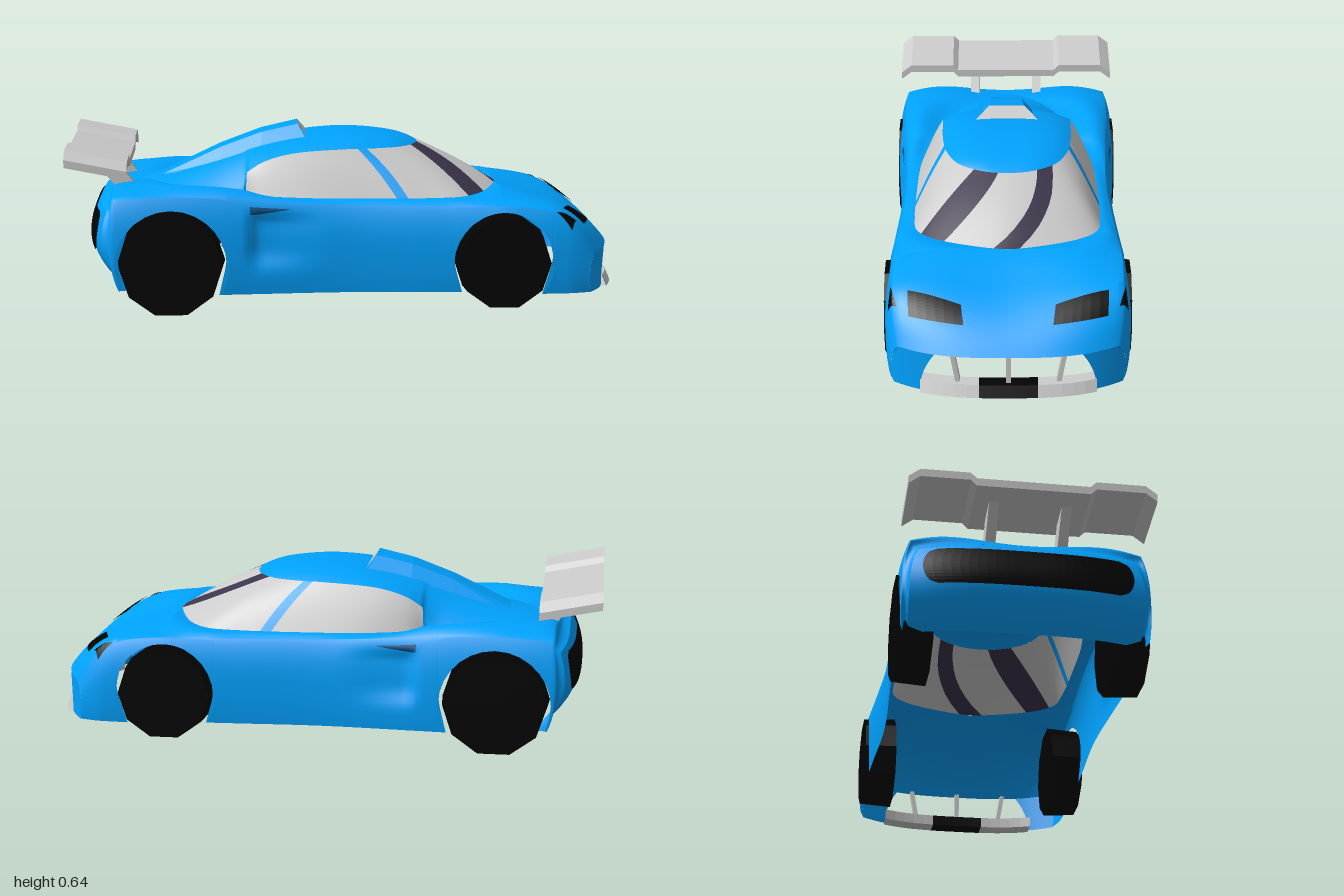
import * as THREE from 'three';

const paint = (color, flatShading = false) =>
  new THREE.MeshStandardMaterial({ color, flatShading, side: THREE.DoubleSide });
const BLUE = paint(0x00a2ff), BLUE_FLAT = paint(0x00a2ff, true), GREY = paint(0xcccccc), GREY_FLAT = paint(0xcccccc, true);
const BLACK = paint(0x030303, true), STRIPE = paint(0x3d354b), SHADE = paint(0x0a4f86);

const { lerp, smoothstep, clamp } = THREE.MathUtils;
const V = (x, y, z) => new THREE.Vector3(x, y, z);
const curve = (pts) => new THREE.CatmullRomCurve3(pts.map((p) => V(...p)));

// Surface over a unit square, f(u, v) -> Vector3
function grid(nu, nv, f) {
  const pos = [], idx = [];
  for (let i = 0; i <= nu; i++)
    for (let j = 0; j <= nv; j++) {
      pos.push(...f(i / nu, j / nv).toArray());
      if (i < nu && j < nv) {
        const a = i * (nv + 1) + j, b = a + nv + 1;
        idx.push(a, b, a + 1, b, b + 1, a + 1);
      }
    }
  const g = new THREE.BufferGeometry();
  g.setAttribute('position', new THREE.Float32BufferAttribute(pos, 3));
  g.setIndex(idx);
  g.computeVertexNormals();
  return g;
}

// Linear lookup of a point in a list sorted by x
function at(list, x) {
  let i = 1;
  while (i < list.length - 1 && list[i].x < x) i++;
  const a = list[i - 1], b = list[i];
  return a.clone().lerp(b, clamp((x - a.x) / (b.x - a.x || 1), 0, 1));
}

// Outlines of the glass: lower edge and roof edge, left half first, then mirrored
const beltHalf = [[-.36, .43, .262], [-.3, .418, .295], [-.15, .413, .325], [.1, .41, .335], [.3, .41, .335],
  [.42, .412, .322], [.485, .414, .265], [.54, .416, .15], [.575, .417, 0]];
const roofHalf = [[-.355, .495, .243], [-.3, .53, .245], [-.2, .56, .243], [0, .575, .237], [.1, .575, .222],
  [.2, .574, .18], [.25, .573, .12], [.275, .572, .055], [.28, .572, 0]];
const around = (h) => curve([...h, ...h.slice(0, -1).reverse().map(([x, y, z]) => [x, y, -z])]);
const belt = around(beltHalf), roofEdge = around(roofHalf);

// Body tables: (x, half width, shoulder height) and inner edge of the top surface
const shape = curve([[-.93, .4, .375], [-.86, .425, .415], [-.78, .432, .43], [-.63, .432, .435], [-.45, .425, .43],
  [-.3, .415, .415], [0, .402, .395], [.3, .415, .39], [.5, .427, .39], [.58, .43, .39], [.7, .427, .38],
  [.8, .423, .36], [.88, .42, .325], [.94, .412, .275], [.98, .4, .215]]).getPoints(120);
const inner = [V(-.93, .4, 0), V(-.86, .425, 0), V(-.72, .44, 0), V(-.62, .44, .18), V(-.5, .435, .225),
  ...Array.from({ length: 61 }, (_, i) => belt.getPoint(i / 120)),
  ...curve([[.58, .415, 0], [.64, .4, 0], [.7, .38, 0], [.8, .345, 0], [.88, .305, 0], [.94, .26, 0],
    [.98, .215, 0]]).getPoints(30)];

const NOSE = .98, TAIL = -.925;
const wheels = [
  { x: -.63, y: .187, r: .193, arch: .2, name: 'rear' },
  { x: .567, y: .184, r: .175, arch: .183, name: 'front' }];

// Rounds the nose in plan and the tail in plan and profile
function warp(X, y, z) {
  const c = Math.abs(z / .4) ** 3;
  const tail = y < .27 ? .1 * ((.27 - y) / .17) ** 2 : .04 * ((y - .27) / .13) ** 2;
  return X - .1 * c * smoothstep(X, .7, 1) + (tail + .05 * c) * smoothstep(-X, .83, .925);
}

// Carries the wheel arches on below the axle by drawing the panels towards the wheels
function archPull(X, y) {
  let pull = 0;
  for (const o of wheels) {
    const d = X - o.x, gap = Math.abs(d) - o.arch;
    if (gap > 1e-6 && y < o.y)
      pull -= Math.sign(d) * (o.arch - Math.sqrt(o.arch ** 2 - (o.y - y) ** 2)) * Math.max(0, 1 - gap / .12);
  }
  return pull;
}

const sideWidth = (w, q) => w * (1 - .07 * Math.max(0, (q - .4) / .6) ** 3 - .02 * Math.max(0, (.4 - q) / .4) ** 2);

// Scooped hollow in the door behind the front seat
const hollow = (x, y) => .025 * smoothstep(x, -.36, -.32) * (1 - smoothstep(x, -.32, -.05))
  * smoothstep(y, .15, .24) * (1 - smoothstep(y, .34, .38));

function bottomEdge(X) {
  for (const o of wheels) {
    const d = Math.abs(X - o.x);
    if (d <= o.arch + 1e-6) return o.y + Math.sqrt(Math.max(0, o.arch ** 2 - d * d));
  }
  return X < -.6 ? .1 : X > .6 ? .07 : .08;
}

// Left half of the body: v 0..1 climbs the side, 1..2 crosses the top
function bodyPoint(X, v, side = 1) {
  const { y: w, z: shoulder } = at(shape, X);
  let y, z;
  if (v <= 1) {
    y = lerp(bottomEdge(X), shoulder, v);
    z = sideWidth(w, (y - .07) / (shoulder - .07)) - hollow(X, y);
  } else {
    const t = v - 1, e = at(inner, X);
    const crown = X < 0 ? .045 * smoothstep(-X, .1, .5) * (1 - smoothstep(-X, .8, .925))
      : .025 * smoothstep(X, .3, .6) * (1 - smoothstep(X, .8, NOSE));
    y = lerp(shoulder, e.y, Math.sin(t * Math.PI / 2)) + crown * Math.sin(Math.PI * t) * (1 - t);
    z = lerp(sideWidth(w, 1), e.z, t);
  }
  return V(warp(X, y, z) + archPull(X, y), y, z * side);
}

function bodyStations() {
  const xs = [.5, .52, .54, .555, .565, .572, .576, .6];
  for (let i = 0; i <= 8; i++) xs.push(lerp(TAIL, -.84, i / 8));
  for (let i = 0; i <= 36; i++) xs.push(lerp(-.42, .375, i / 36));
  for (let i = 0; i <= 12; i++) xs.push(lerp(.76, NOSE, i / 12));
  for (const o of wheels) {
    xs.push(o.x - o.arch - .002, o.x + o.arch + .002);
    for (let i = 0; i <= 14; i++) xs.push(o.x - o.arch * Math.cos(Math.PI * i / 14));
  }
  return xs.sort((a, b) => a - b);
}

// Patch lying on the body, corners given as [X, v]
const decal = (a, b, c, d, side) => grid(8, 6, (u, v) => {
  const mix = (k) => lerp(lerp(a[k], b[k], u), lerp(d[k], c[k], u), v);
  return bodyPoint(mix(0), mix(1), side).add(V(.003, .004, .004 * side));
});

export function createModel() {
  const car = new THREE.Group();
  const add = (name, geometry, material) => {
    const m = new THREE.Mesh(geometry, material);
    m.name = name;
    car.add(m);
    return m;
  };
  const xs = bodyStations(), n = xs.length - 1;

  for (const s of [1, -1]) {
    const label = s > 0 ? 'left' : 'right';
    // Body half, bumper corner, lamps and side intake
    add(label + 'Body', grid(n, 32, (u, v) => bodyPoint(xs[Math.round(u * n)], v * 2, s)), BLUE);
    add(label + 'BumperCorner', grid(8, 6, (u, v) => {
      const p = bodyPoint(NOSE, v), z = lerp(p.z, lerp(.3, .25, v ** 2), u);
      return V(warp(NOSE, p.y, z), p.y, z * s);
    }), BLUE);
    add(label + 'Headlamp', decal([.8, 1.14], [.905, 1.14], [.905, 1.62], [.84, 1.6], s), BLACK);
    add(label + 'CornerLamp', decal([.76, .98], [.87, .87], [.88, 1.04], [.88, 1.04], s), BLACK);
    add(label + 'SideIntake', decal([-.35, .84], [-.33, .84], [-.2, .92], [-.35, .92], s), SHADE);

    // Wheels, slightly wider on the inner face
    for (const o of wheels) {
      const g = new THREE.CylinderGeometry(o.r * .96, o.r, .12, 10);
      g.rotateY(Math.PI / 2).rotateX(s * Math.PI / 2);
      add(`${o.name}${label}Wheel`, g, BLACK).position.set(o.x, o.y, s * .37);
    }

    // Wing strut
    const strut = new THREE.Shape([[-.95, .57], [-.85, .55], [-.76, .43], [-.82, .41]].map((p) => new THREE.Vector2(...p)));
    add(label + 'WingStrut', new THREE.ExtrudeGeometry(strut, { depth: .035, bevelEnabled: false }), GREY_FLAT)
      .position.z = s * .125 - .0175;
  }

  // Tail panel and dark light band
  add('tailPanel', grid(24, 20, (u, v) => {
    const p = bodyPoint(TAIL, v * 2), z = p.z * (u * 2 - 1);
    return V(warp(TAIL, p.y, z), p.y, z);
  }), BLUE);
  add('tailBand', grid(24, 12, (u, v) => {
    const y = lerp(.23, .37, v), z = (.31 + .05 * Math.sqrt(1 - (v * 2 - 1) ** 2)) * (u * 2 - 1);
    return V(warp(TAIL, y, z) - .006, y, z);
  }), BLACK);

  // Glass, pillars and windscreen stripes: [lower, upper] limits counted along the outlines
  const cuts = [[0, 0], [3.4, 3.45], [3.6, 3.8], [5.35, 6], [6.4, 7.4], [7.67, 9.8], [8.27, 10.7],
    [12.4, 12.2], [12.6, 12.55], [16, 16]];
  const panes = [['leftSideWindow', GREY], ['leftPillar', BLUE], ['leftWindscreen', GREY], ['leftStripe', STRIPE],
    ['midWindscreen', GREY], ['rightStripe', STRIPE], ['rightWindscreen', GREY], ['rightPillar', BLUE],
    ['rightSideWindow', GREY]];
  panes.forEach(([name, material], i) => add(name, grid(20, 8, (u, v) => {
    const k = lerp(lerp(cuts[i][0], cuts[i + 1][0], u), lerp(cuts[i][1], cuts[i + 1][1], u), v) / 16;
    const p = belt.getPoint(k).lerp(roofEdge.getPoint(k), v);
    p.y += .008 * Math.sin(Math.PI * v);
    return p;
  }), material));

  // Roof running back into the engine cover
  const ridge = curve([[-.78, .435, 0], [-.6, .475, 0], [-.5, .51, 0], [-.35, .56, 0], [-.2, .595, 0], [-.1, .609, 0],
    [0, .615, 0], [.1, .611, 0], [.2, .598, 0], [.25, .584, 0], [.28, .572, 0]]).getPoints(80);
  const edge = [V(-.77, .41, .21), V(-.62, .415, .225), V(-.5, .42, .24), V(-.43, .425, .25), V(-.37, .43, .262),
    ...Array.from({ length: 33 }, (_, i) => roofEdge.getPoint(i / 64))];
  add('roof', grid(edge.length - 1, 28, (u, v) => {
    const e = edge[Math.round(u * (edge.length - 1))], k = v * 2 - 1;
    const power = lerp(2.2, 3.6, smoothstep(e.x, -.5, 0));
    return V(e.x, lerp(e.y, at(ridge, e.x).y, 1 - Math.abs(k) ** power), e.z * k);
  }), BLUE);

  // Roof scoop: trapezoid sections [x, base half width, top half width, base y, top y]
  const scoop = [[-.165, .12, .065, .59, .645], [-.3, .11, .06, .555, .615], [-.45, .095, .055, .51, .56], [-.66, .08, .05, .44, .462]];
  add('roofScoop', grid(3, 3, (u, v) => {
    const [x, b, t, yb, yt] = scoop[Math.round(u * 3)], j = Math.round(v * 3);
    return V(x + (u === 0 && j % 3 === 0 ? .03 : 0), j % 3 ? yt : yb, [-b, -t, t, b][j]);
  }), BLUE_FLAT);
  add('scoopMouth', grid(1, 1, (u, v) => V(lerp(-.13, -.165, v), lerp(.6, .646, v), lerp(.12, .065, v) * (u * 2 - 1))), GREY_FLAT);

  // Front splitter in three lengths, and the grille posts above it
  const lip = [[.02, .07], [.002, .11], [-.05, .11], [-.05, .07], [.02, .07]];
  [['rightSplitter', -.3, -.1, GREY_FLAT], ['midSplitter', -.1, .1, BLACK], ['leftSplitter', .1, .3, GREY_FLAT]]
    .forEach(([name, a, b, material]) => add(name, grid(5, 4, (u, v) => {
      const z = lerp(a, b, u), [dx, y] = lip[Math.round(v * 4)];
      return V(warp(NOSE, y, z) + dx, y, z);
    }), material));
  for (const s of [-1, 0, 1]) {
    const post = add('grillePost', new THREE.BoxGeometry(.03, .11, .016), GREY_FLAT);
    post.position.set(warp(NOSE, .15, s * .18) - .03, .157, s * .18);
    post.rotation.x = s * .17;
  }

  // Rear wing: stepped span with turned-down tips, sloping towards the front
  const span = [[-.425, -.03], [-.385, 0], [-.215, 0], [-.195, -.02], [.195, -.02], [.215, 0], [.385, 0], [.425, -.03]];
  const outline = [...span, ...span.map(([z, y]) => [z, y - .028]).reverse()];
  const wing = new THREE.ExtrudeGeometry(new THREE.Shape(outline.map((p) => new THREE.Vector2(...p))),
    { depth: .22, bevelEnabled: false });
  wing.rotateY(-Math.PI / 2).translate(-.78, .605, 0);
  const p = wing.attributes.position;
  for (let i = 0; i < p.count; i++) p.setY(i, p.getY(i) - .2 * (p.getX(i) + 1));
  wing.computeVertexNormals();
  add('rearWing', wing, GREY_FLAT);

  return car;
}
